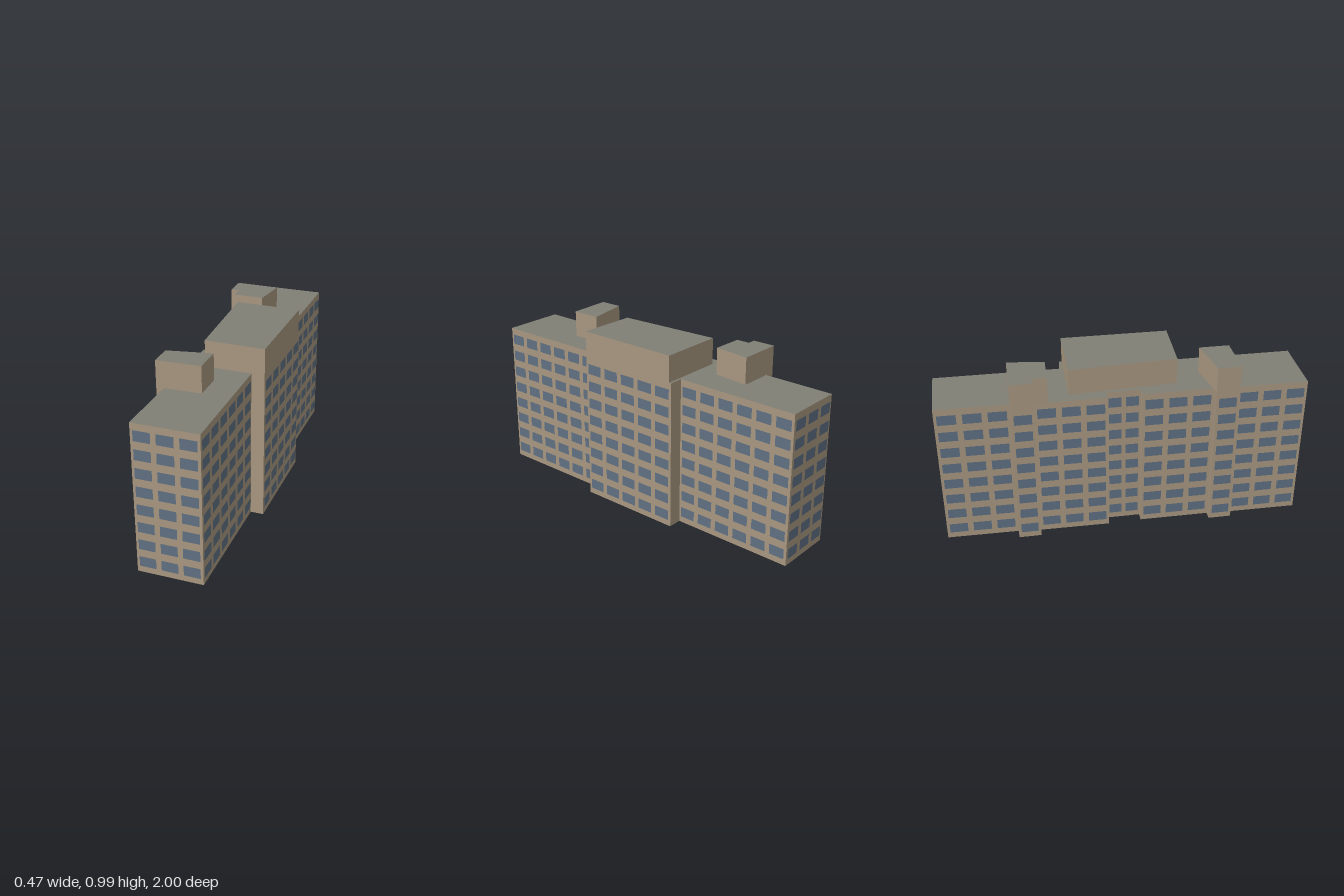
import * as THREE from 'three';
import { mergeGeometries } from 'three/addons/utils/BufferGeometryUtils.js';

const ROOF_Y = 0.84, TOP_Y = 0.987, ROWS = 8;

// Footprint corners [x, z, window columns on the wall that starts here]
const FOOTPRINT = [
  [-0.2, 1, 3], [0.155, 1, 6],
  [0.158, 0.305, 0], [0.23, 0.305, 5],
  [0.234, -0.303, 0], [0.155, -0.303, 6],
  [0.16, -1, 3], [-0.175, -1, 3],
  [-0.18, -0.605, 0], [-0.237, -0.605, 1],
  [-0.237, -0.48, 0], [-0.19, -0.48, 3],
  [-0.195, -0.09, 0], [-0.14, -0.09, 2],
  [-0.14, 0.095, 0], [-0.188, 0.095, 3],
  [-0.19, 0.485, 0], [-0.237, 0.485, 1],
  [-0.237, 0.613, 0], [-0.196, 0.613, 3],
];

// Blocks rising above the main roof
const PENTHOUSES = {
  centralPenthouse: [[-0.1, 0.297], [0.23, 0.305], [0.234, -0.288], [-0.13, -0.29]],
  frontStairTower: [[-0.237, 0.613], [0.005, 0.605], [0.005, 0.44], [-0.237, 0.485]],
  backStairTower: [[-0.237, -0.48], [-0.19, -0.48], [-0.19, -0.405], [-0.02, -0.4], [0.005, -0.602], [-0.237, -0.605]],
};

function forEachEdge(points, visit) {
  points.forEach((p, i) => visit(p, points[(i + 1) % points.length]));
}

// Upright rectangle centred on a fraction t of the edge a-b, facing outwards
function panel(a, b, t, width, height, y, offset) {
  const dx = b[0] - a[0], dz = b[1] - a[1], length = Math.hypot(dx, dz);
  const nx = -dz / length, nz = dx / length;
  return new THREE.PlaneGeometry(width, height)
    .rotateY(Math.atan2(nx, nz))
    .translate(a[0] + dx * t + nx * offset, y, a[1] + dz * t + nz * offset);
}

function wallGeometry(points, y0, y1) {
  const parts = [];
  forEachEdge(points, (a, b) => {
    const length = Math.hypot(b[0] - a[0], b[1] - a[1]);
    parts.push(panel(a, b, 0.5, length, y1 - y0, (y0 + y1) / 2, 0));
  });
  return mergeGeometries(parts);
}

function roofGeometry(points, y) {
  const shape = new THREE.Shape(points.map(([x, z]) => new THREE.Vector2(x, -z)));
  return new THREE.ShapeGeometry(shape).rotateX(-Math.PI / 2).translate(0, y, 0);
}

function windowGeometry() {
  const parts = [];
  forEachEdge(FOOTPRINT, (a, b) => {
    const columns = a[2];
    const width = columns ? 0.76 * Math.hypot(b[0] - a[0], b[1] - a[1]) / columns : 0;
    for (let c = 0; c < columns; c++) {
      for (let r = 0; r < ROWS; r++) {
        parts.push(panel(a, b, (c + 0.5) / columns, width, 0.058, 0.064 + r * 0.1014, 0.002));
      }
    }
  });
  return mergeGeometries(parts);
}

export function createModel() {
  const material = (name, color) => {
    const m = new THREE.MeshStandardMaterial({ color, side: THREE.DoubleSide });
    m.name = name;
    return m;
  };
  const wall = material('tan wall', 0xa89780);
  const roof = material('grey roof', 0x7f7f75);
  const glass = material('blue window', 0x5f7083);

  const model = new THREE.Group();
  model.name = 'apartmentBlock';
  const add = (parent, name, geometry, mat) => {
    const mesh = new THREE.Mesh(geometry, mat);
    mesh.name = name;
    parent.add(mesh);
  };

  // Main block, open underneath
  add(model, 'mainWalls', wallGeometry(FOOTPRINT, 0, ROOF_Y), wall);
  add(model, 'mainRoof', roofGeometry(FOOTPRINT, ROOF_Y), roof);
  add(model, 'windows', windowGeometry(), glass);

  // Penthouse and stair towers
  for (const [name, points] of Object.entries(PENTHOUSES)) {
    const block = new THREE.Group();
    block.name = name;
    add(block, name + 'Walls', wallGeometry(points, ROOF_Y, TOP_Y), wall);
    add(block, name + 'Roof', roofGeometry(points, TOP_Y), roof);
    model.add(block);
  }
  return model;
}
